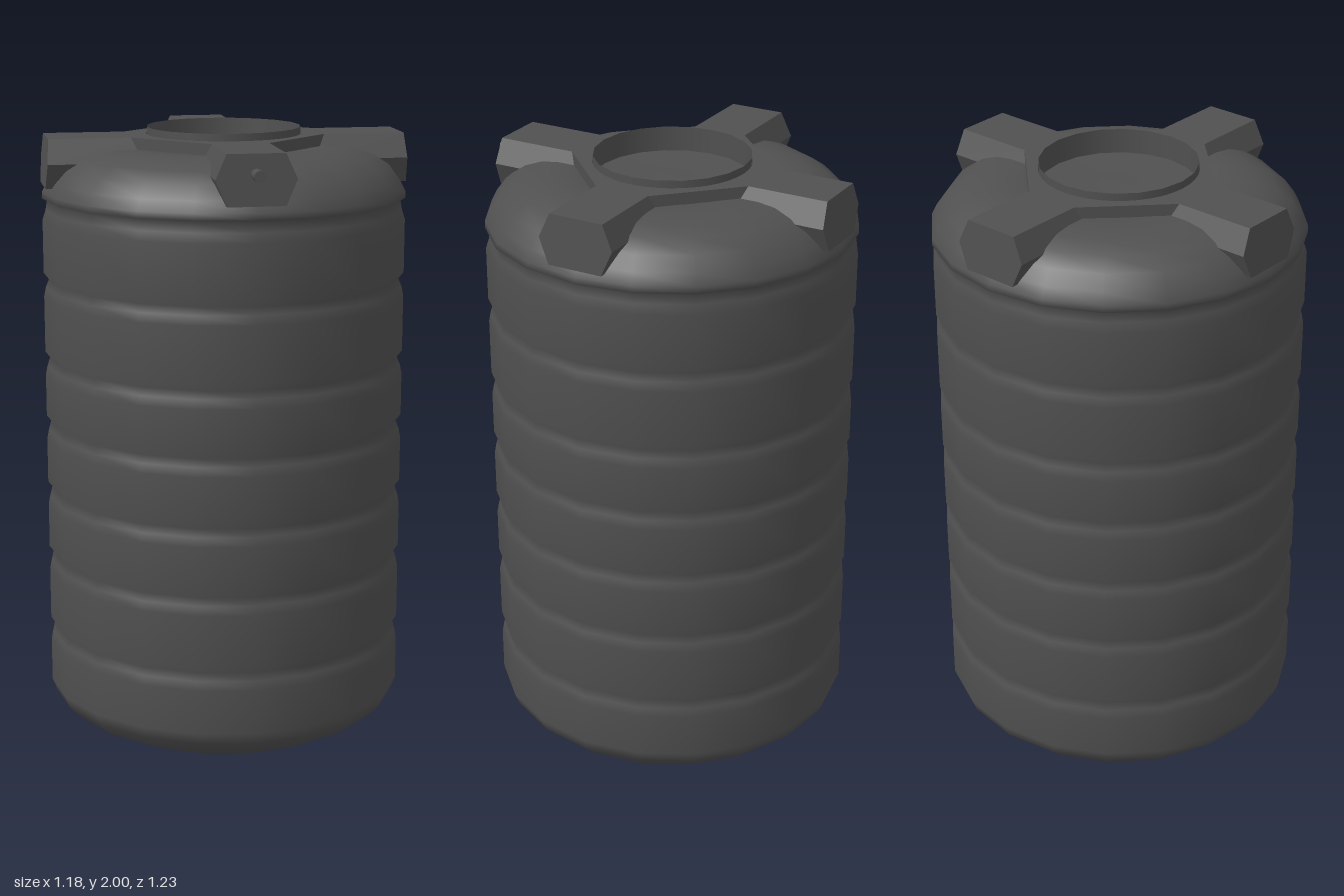
import * as THREE from 'three';

const SIDES = 20;

export function createModel() {
  const model = new THREE.Group();
  model.name = 'waterTank';
  const plastic = new THREE.MeshStandardMaterial({ color: 0x505050 });
  plastic.name = 'dark grey plastic';
  const rimMaterial = plastic;
  rimMaterial.side = THREE.DoubleSide;

  // Everything but the outlet is centred on the tank's own axis
  const tank = new THREE.Group();
  tank.name = 'tank';
  tank.position.z = -0.025;
  model.add(tank);

  const add = (parent, name, geometry) => {
    const mesh = new THREE.Mesh(geometry, plastic);
    mesh.name = name;
    parent.add(mesh);
    return mesh;
  };

  // Ribbed body: rounded base, grooves, overhanging lip and domed shoulder
  const profile = [[0, 0], [0.36, 0], [0.39, 0.003], [0.46, 0.018], [0.53, 0.055], [0.575, 0.1], [0.59, 0.14]];
  for (const g of [0.34, 0.59, 0.815, 1.04, 1.255, 1.515]) {
    profile.push([0.59, g - 0.055], [0.584, g - 0.025], [0.573, g], [0.59, g + 0.022]);
  }
  profile.push([0.59, 1.71], [0.58, 1.74], [0.575, 1.77], [0.591, 1.779], [0.59, 1.8],
    [0.572, 1.835], [0.54, 1.878], [0.49, 1.912], [0.43, 1.933], [0.37, 1.94],
    [0.29, 1.94], [0.25, 1.92], [0, 1.925]);
  add(tank, 'ribbedBody', new THREE.LatheGeometry(profile.map(([r, y]) => new THREE.Vector2(r, y)), SIDES));

  // Four hexagonal arms, with ends leaning slightly outwards toward the base
  const hexagon = new THREE.Shape([[-0.09, 1.977], [-0.125, 1.9], [-0.09, 1.82], [0.09, 1.82], [0.125, 1.9], [0.09, 1.977]]
    .map(([x, y]) => new THREE.Vector2(x, y)));
  const armGeometry = new THREE.ExtrudeGeometry(hexagon, { depth: 0.285, bevelEnabled: false });
  armGeometry.translate(0, 0, 0.29);
  const p = armGeometry.attributes.position;
  for (let i = 0; i < p.count; i++) {
    if (p.getZ(i) > 0.4) p.setZ(i, 0.575 + (1.977 - p.getY(i)) * 0.07);
  }
  armGeometry.computeVertexNormals();
  for (let i = 0; i < 4; i++) {
    add(tank, 'topArm' + (i + 1), armGeometry).rotation.y = i * Math.PI / 2;
  }

  // Plate joining the arms around the opening
  const corners = [];
  for (let i = 0; i < 4; i++) {
    for (const side of [-0.09, 0.09]) {
      corners.push(new THREE.Vector2(0.312, side).rotateAround(new THREE.Vector2(), i * Math.PI / 2));
    }
  }
  const plate = new THREE.Shape(corners);
  plate.holes.push(new THREE.Path().absarc(0, 0, 0.25, 0, Math.PI * 2, true));
  const plateGeometry = new THREE.ExtrudeGeometry(plate, { depth: 0.067, bevelEnabled: false, curveSegments: SIDES });
  plateGeometry.rotateX(-Math.PI / 2);
  add(tank, 'joiningPlate', plateGeometry).position.y = 1.91;

  // Thin open rim of the hatch
  add(tank, 'hatchRim', new THREE.CylinderGeometry(0.249, 0.249, 0.085, SIDES, 1, true)).position.y = 1.9575;

  // Small outlet pipe on the front arm
  const outlet = add(model, 'outletPipe', new THREE.CylinderGeometry(0.018, 0.018, 0.09, 12));
  outlet.rotation.x = Math.PI / 2;
  outlet.position.set(0, 1.915, 0.565);

  return model;
}
